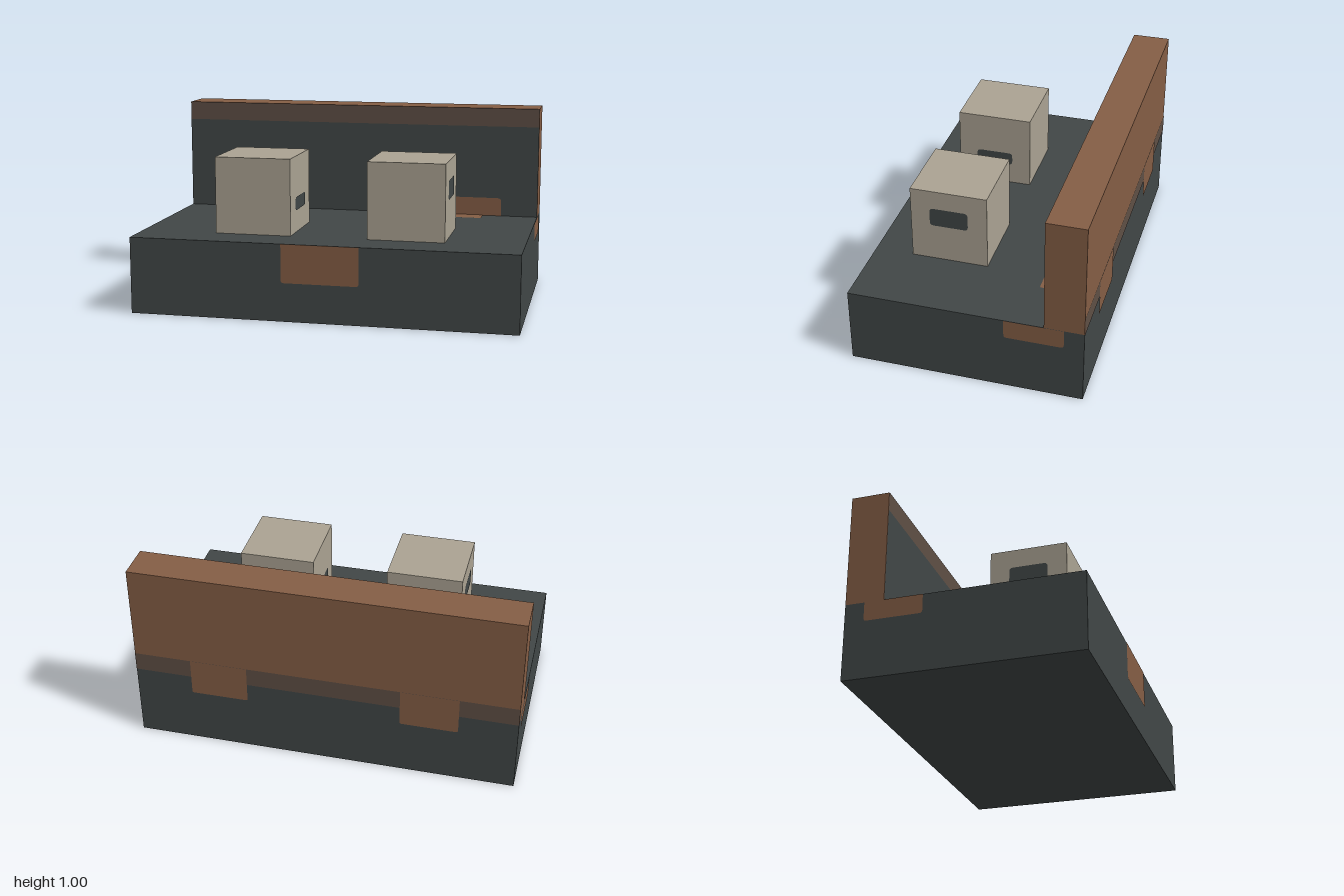
import * as THREE from 'three';

const material = (name, color) => {
  const m = new THREE.MeshStandardMaterial({ color });
  m.name = name;
  return m;
};

export function createModel() {
  const model = new THREE.Group();
  model.name = 'padBlock';
  const slate = material('slate', 0x414747);
  const brown = material('brown', 0x855e45);
  const umber = material('umber', 0x5f4f45);
  const stone = material('stone', 0xaba393);

  // Solid block given by its lower and upper corners
  function block(name, mat, [x0, y0, z0], [x1, y1, z1]) {
    const mesh = new THREE.Mesh(new THREE.BoxGeometry(x1 - x0, y1 - y0, z1 - z0), mat);
    mesh.position.set((x0 + x1) / 2, (y0 + y1) / 2, (z0 + z1) / 2);
    mesh.name = name;
    model.add(mesh);
  }

  // Flat painted patch with rounded bottom and top corners, facing +z before rotation
  function patch(name, mat, w, h, bottom, top, position, rotX = 0, rotY = 0) {
    const x = w / 2, y = h / 2, s = new THREE.Shape();
    s.moveTo(-x + bottom, -y);
    s.lineTo(x - bottom, -y);
    if (bottom) s.quadraticCurveTo(x, -y, x, -y + bottom);
    s.lineTo(x, y - top);
    if (top) s.quadraticCurveTo(x, y, x - top, y);
    s.lineTo(-x + top, y);
    if (top) s.quadraticCurveTo(-x, y, -x, y - top);
    s.lineTo(-x, -y + bottom);
    if (bottom) s.quadraticCurveTo(-x, -y, -x + bottom, -y);
    const mesh = new THREE.Mesh(new THREE.ShapeGeometry(s, 4), mat);
    mesh.position.set(...position);
    mesh.rotation.set(rotX, rotY, 0);
    mesh.name = name;
    model.add(mesh);
  }

  // Base slab and rear wall
  block('base', slate, [-1, 0, -0.6], [1, 0.4, 0.6]);
  block('rearWall', brown, [-1, 0.4, -0.6], [1, 1, -0.4]);

  // Painted wall faces
  patch('wallFrontPanel', slate, 2, 0.5, 0, 0, [0, 0.65, -0.398]);
  patch('wallFrontBand', umber, 2, 0.1, 0, 0, [0, 0.95, -0.398]);
  patch('wallBackBand', umber, 2, 0.1, 0, 0, [0, 0.45, -0.602], 0, Math.PI);

  // Tab on the front of the base
  patch('frontTab', brown, 0.4, 0.2, 0.015, 0, [0, 0.3, 0.602]);

  for (const side of [-1, 1]) {
    const turn = side * Math.PI / 2;

    // Brown patches spilling from the wall onto the base
    patch('wallPatch', brown, 0.4, 0.1, 0, 0.02, [side * 0.6, 0.45, -0.396]);
    patch('floorPatch', brown, 0.3, 0.1, 0.01, 0, [side * 0.55, 0.402, -0.35], -Math.PI / 2);
    patch('backTab', brown, 0.3, 0.2, 0.01, 0, [side * 0.55, 0.4, -0.604], 0, Math.PI);
    patch('sideTab', brown, 0.3, 0.1, 0.015, 0, [side * 1.002, 0.35, -0.35], 0, turn);

    // Cube with a slot on its outer and inner faces
    block('cube', stone, [side * 0.4 - 0.2, 0.4, 0], [side * 0.4 + 0.2, 0.8, 0.4]);
    patch('outerSlot', slate, 0.2, 0.1, 0.02, 0.02, [side * 0.602, 0.65, 0.2], 0, turn);
    patch('innerSlot', slate, 0.2, 0.07, 0.02, 0.02, [side * 0.198, 0.55, 0.2], 0, -turn);
  }
  return model;
}
